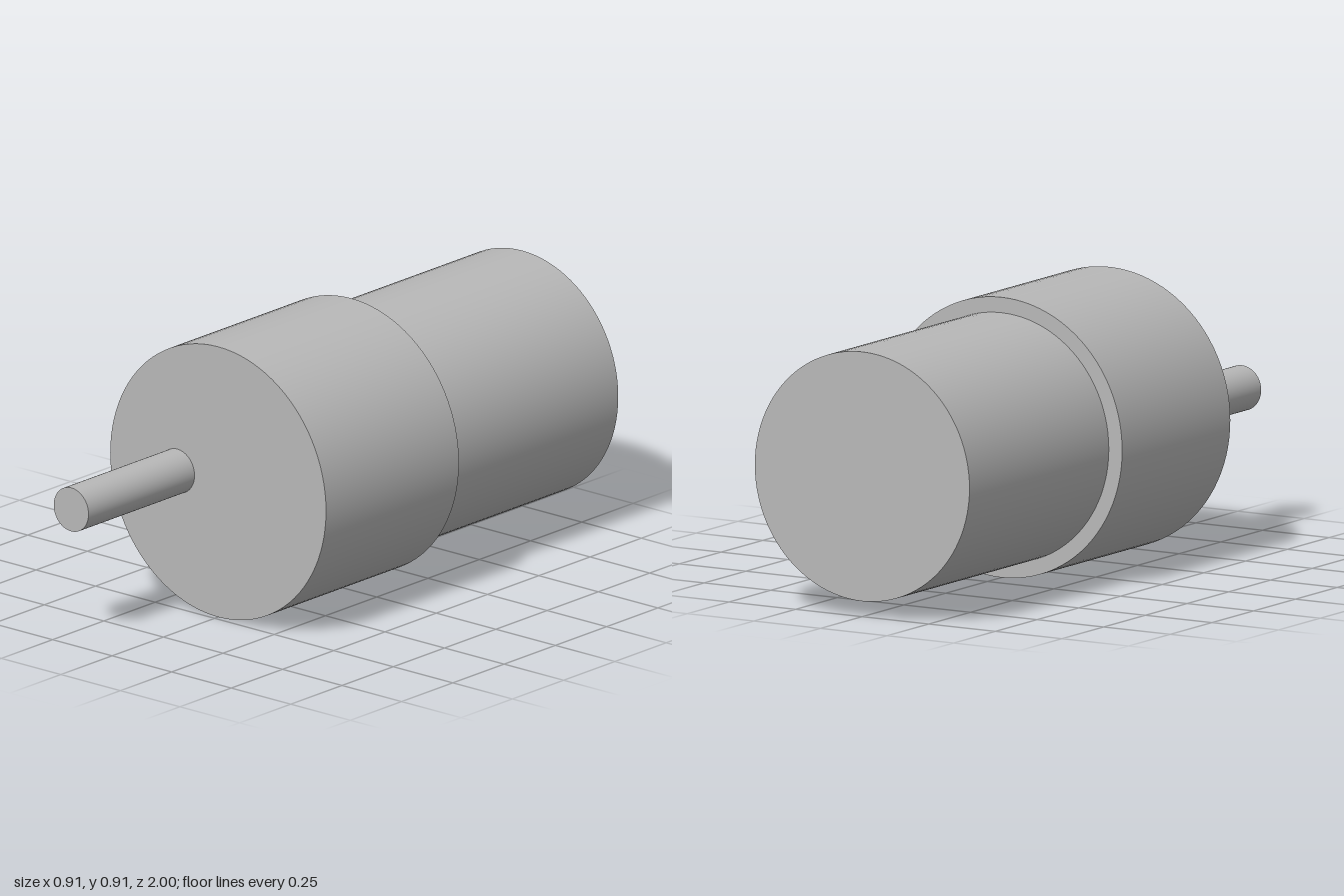
import * as THREE from 'three';

const AXIS_Y = 0.453; // height of the common centre line

export function createModel() {
  const model = new THREE.Group();
  model.name = 'gearedMotor';
  const metal = new THREE.MeshStandardMaterial({ color: 0xb8b8b8 });
  metal.name = 'grey metal';

  // Capped cylinder lying along z, from zBack to zFront
  function addCylinder(name, radius, zBack, zFront, x = 0) {
    const geometry = new THREE.CylinderGeometry(radius, radius, zFront - zBack, 96);
    geometry.rotateX(Math.PI / 2);
    const mesh = new THREE.Mesh(geometry, metal);
    mesh.name = name;
    mesh.position.set(x, AXIS_Y, (zBack + zFront) / 2);
    model.add(mesh);
  }

  addCylinder('motorBody', 0.403, -1, -0.165);
  addCylinder('gearboxHousing', 0.453, -0.165, 0.483);
  // Output shaft, offset to the model's right
  addCylinder('outputShaft', 0.073, 0.483, 1, -0.172);

  return model;
}
